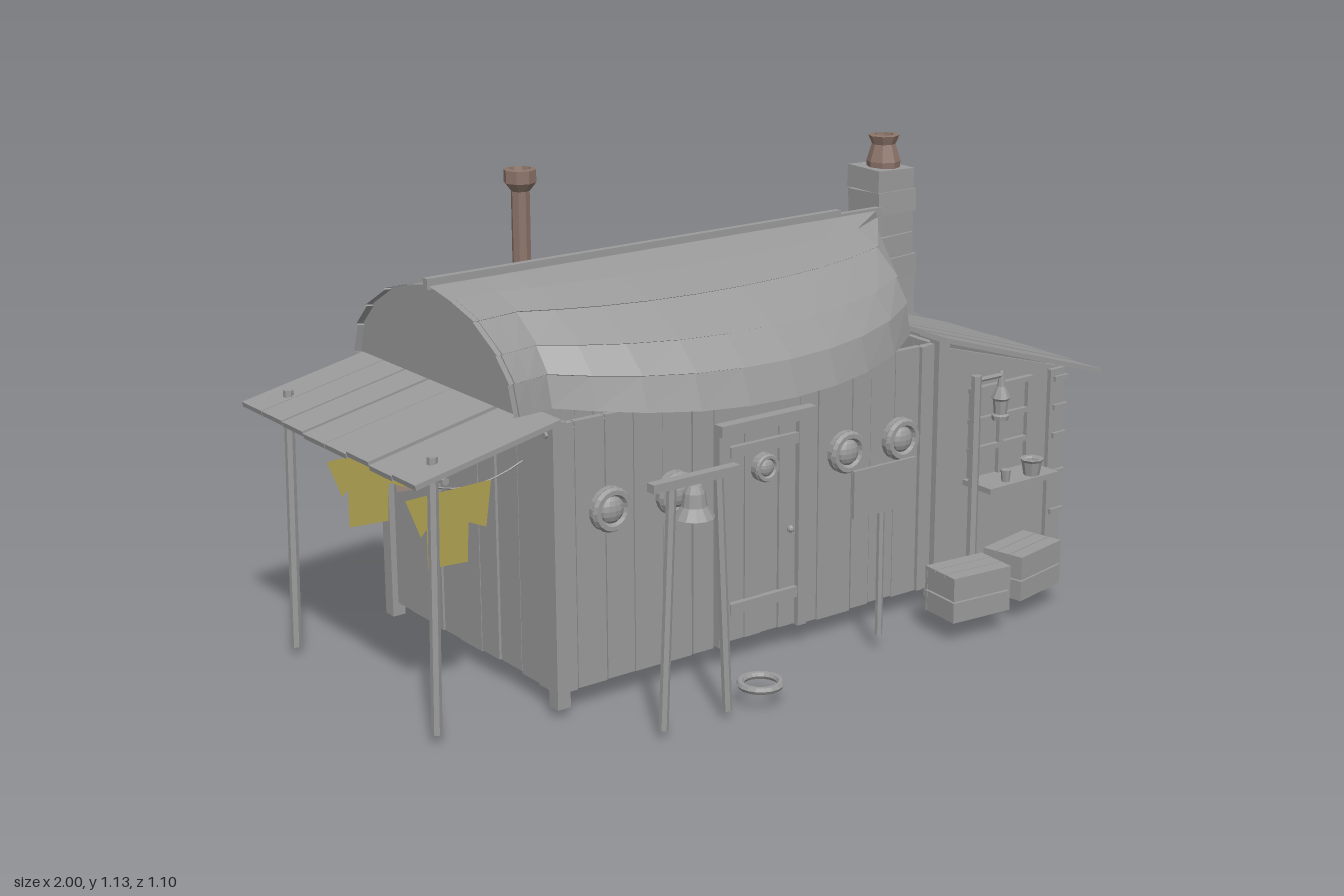
import * as THREE from 'three';

const mat = (name, color, side = THREE.FrontSide) =>
  new THREE.MeshStandardMaterial({ name, color, side, flatShading: true });
const wood = mat('weathered grey', 0x9a9a9a, THREE.DoubleSide);
const clay = mat('clay brown', 0x8c756a);
const yellow = mat('yellow cloth', 0xb0a152, THREE.DoubleSide);
const tan = mat('tan cloth', 0xa08c80, THREE.DoubleSide);
const rust = mat('dark brown', 0x6e5548, THREE.DoubleSide);

// Small seeded random for hand-cut irregularity
let seed = 7;
const jit = (a) => { seed = (seed * 16807) % 2147483647; return (seed / 2147483647 - 0.5) * 2 * a; };

export function createModel() {
  const root = new THREE.Group();
  const add = (name, geo, x = 0, y = 0, z = 0, m = wood, parent = root) => {
    const mesh = new THREE.Mesh(geo, m);
    mesh.name = name;
    mesh.position.set(x, y, z);
    parent.add(mesh);
    return mesh;
  };
  // Box from its min and max corners
  const box = (name, x0, x1, y0, y1, z0, z1, m = wood, parent = root) =>
    add(name, new THREE.BoxGeometry(x1 - x0, y1 - y0, z1 - z0), (x0 + x1) / 2, (y0 + y1) / 2, (z0 + z1) / 2, m, parent);
  // Round or square bar between two points
  const bar = (name, a, b, r, sides = 6, m = wood) => {
    const A = new THREE.Vector3(...a), B = new THREE.Vector3(...b), d = B.clone().sub(A);
    const mesh = add(name, new THREE.CylinderGeometry(r, r, d.length(), sides), 0, 0, 0, m);
    mesh.position.copy(A).add(B).multiplyScalar(0.5);
    mesh.quaternion.setFromUnitVectors(new THREE.Vector3(0, 1, 0), d.normalize());
    return mesh;
  };
  const shape = (pts) => new THREE.Shape(pts.map((p) => new THREE.Vector2(...p)));
  const lathe = (pts, n) => new THREE.LatheGeometry(pts.map((p) => new THREE.Vector2(...p)), n);
  const CZ = -0.09;

  // Overturned hull roof: stations along x [x, half width, bottom y]
  const stations = [[-0.73, 0.34, 0.7], [-0.665, 0.315, 0.692], [-0.6, 0.29, 0.686], [-0.52, 0.345, 0.678],
    [-0.42, 0.395, 0.668], [-0.3, 0.434, 0.659], [-0.18, 0.453, 0.654], [-0.05, 0.457, 0.652], [0.08, 0.443, 0.654],
    [0.2, 0.412, 0.658], [0.33, 0.358, 0.667], [0.45, 0.28, 0.68], [0.585, 0.002, 0.675]];
  // Overlapping strakes: [width factor, height factor]
  const strakes = [[0, 1], [0.28, 0.92], [0.56, 0.8], [0.545, 0.79], [0.82, 0.55], [0.802, 0.54],
    [0.955, 0.31], [0.937, 0.3], [1, 0], [0.965, 0]];
  const at = ([x, w, yb], [a, b], s) => [x, yb + (0.925 - yb) * b, CZ + s * w * a];
  for (const s of [1, -1]) {
    const pos = [], idx = [], n = strakes.length;
    stations.forEach((st) => strakes.forEach((k) => pos.push(...at(st, k, s))));
    for (let i = 0; i < stations.length - 1; i++) for (let j = 0; j < n - 1; j++) {
      const a = i * n + j, b = a + 1, c = a + n, d = c + 1;
      idx.push(...(s > 0 ? [a, b, c, b, d, c] : [a, c, b, b, c, d]));
    }
    const g = new THREE.BufferGeometry();
    g.setAttribute('position', new THREE.Float32BufferAttribute(pos, 3));
    g.setIndex(idx);
    g.computeVertexNormals();
    add('hullSide', g);
  }
  const rim = strakes.map((k) => at(stations[0], k, 1)).map((p) => [p[2], p[1]]);
  const transom = add('transom', new THREE.ShapeGeometry(shape(
    [...rim, ...rim.slice(1).reverse().map(([z, y]) => [2 * CZ - z, y])])), -0.715, 0, 0);
  transom.rotation.y = -Math.PI / 2;
  box('keel', -0.735, 0.455, 0.915, 0.94, CZ - 0.009, CZ + 0.009);
  box('stem', 0.575, 0.592, 0.66, 0.928, CZ - 0.008, CZ + 0.008);
  box('stemCap', 0.45, 0.585, 0.912, 0.93, CZ - 0.008, CZ + 0.008);

  // Plank walls of the main house; along x, or along z when turned
  const plankWall = (name, from, to, face, alongX, top, count) => {
    const w = (to - from) / count;
    let a = from;
    for (let i = 0; i < count; i++) {
      const b = i === count - 1 ? to : from + w * (i + 1) + jit(w * 0.25), f = face + jit(0.003);
      const y0 = 0.05 + jit(0.004);
      if (alongX) box(name, a, b - 0.003, y0, top, f - 0.008, f + 0.008);
      else box(name, f - 0.008, f + 0.008, y0, top, a, b - 0.003);
      a = b;
    }
  };
  plankWall('frontWall', -0.64, -0.205, 0.255, true, 0.67, 6);
  plankWall('frontWall', 0.045, 0.48, 0.255, true, 0.67, 6);
  box('wallAboveDoor', -0.205, 0.045, 0.57, 0.67, 0.247, 0.263);
  plankWall('backWall', -0.64, 0.48, -0.44, true, 0.67, 15);
  plankWall('leftEndWall', -0.43, 0.25, -0.63, false, 0.67, 9);
  plankWall('rightEndWall', -0.43, 0.25, 0.47, false, 0.67, 9);
  for (const z of [0.265, -0.447]) for (const x of [-0.637, 0.478])
    box('cornerPost', x - 0.017, x + 0.017, 0.02, 0.68, z - 0.017, z + 0.017);
  box('frontTrim', 0.415, 0.435, 0.05, 0.67, 0.26, 0.272);

  // Door with battens, header, round window and knob
  for (let i = 0; i < 4; i++) box('doorPlank', -0.165 + i * 0.05, -0.117 + i * 0.05, 0.055, 0.565, 0.247, 0.261 + jit(0.003));
  box('doorJamb', -0.197, -0.167, 0.05, 0.57, 0.25, 0.272);
  box('doorJamb', 0.037, 0.062, 0.05, 0.57, 0.25, 0.272);
  box('doorHeader', -0.205, 0.072, 0.565, 0.592, 0.25, 0.292);
  for (const y of [0.125, 0.505]) box('doorBatten', -0.165, 0.033, y, y + 0.026, 0.26, 0.274);
  add('doorKnob', new THREE.SphereGeometry(0.009, 8, 6), 0.01, 0.3, 0.275);

  // Portholes: ring, glass dome and flange
  const porthole = (x, y, z, r, dir) => {
    const g = new THREE.Group();
    g.name = 'porthole';
    g.position.set(x, y, z);
    g.rotation.y = dir > 0 ? 0 : Math.PI;
    root.add(g);
    add('portholeFlange', new THREE.CylinderGeometry(r, r, 0.02, 18), 0, 0, 0, wood, g).rotation.x = Math.PI / 2;
    add('portholeRing', new THREE.TorusGeometry(r * 0.8, r * 0.2, 6, 18), 0, 0, 0.012, wood, g);
    add('portholeGlass', new THREE.SphereGeometry(r * 0.62, 12, 8), 0, 0, 0.008, wood, g).scale.z = 0.55;
  };
  for (const x of [-0.5, -0.32, 0.18, 0.35]) porthole(x, 0.455, 0.268, 0.052, 1);
  porthole(-0.065, 0.465, 0.268, 0.034, 1);
  for (const x of [0.28, 0.015, -0.24, -0.495]) porthole(x, 0.46, -0.452, 0.052, -1);

  // Lean-to annex: sloped side walls, end wall and sills
  for (const z of [0.205, -0.39]) {
    add('annexSideWall', new THREE.ExtrudeGeometry(shape([[0.48, 0.05], [0.935, 0.05], [0.935, 0.525], [0.48, 0.655]]),
      { depth: 0.02, bevelEnabled: false }), 0, 0, z);
  }
  box('annexEndWall', 0.915, 0.937, 0.045, 0.53, -0.385, 0.22);
  for (const [z, s] of [[0.225, 1], [-0.39, -1]]) {
    box('annexCorner', 0.89, 0.94, 0.05, 0.525, z - 0.012, z + 0.012);
    box('annexFoot', 0.51, 0.535, 0.02, 0.6, z - 0.012, z + 0.012);
    for (const y of [0.145, 0.25, 0.35, 0.425, 0.5]) {
      box('cornerPeg', 0.9, 0.946, y - 0.007, y + 0.007, z + s * 0.004 - 0.016, z + s * 0.004 + 0.016);
    }
  }
  const patch = add('rustPatch', new THREE.ShapeGeometry(shape([[0.485, 0.05], [0.55, 0.05], [0.485, 0.2]])), 0, 0, -0.393, rust);
  patch.name = 'rustPatch';

  // Sloped plank roofs either side; planks run along x
  const plankRoof = (name, x0, y0, x1, y1, z0, z1, count) => {
    const w = (z1 - z0) / count, len = Math.hypot(x1 - x0, y1 - y0);
    for (let i = 0; i < count; i++) {
      const p = add(name, new THREE.BoxGeometry(len, 0.012, w - 0.003),
        (x0 + x1) / 2, (y0 + y1) / 2 + jit(0.004), z0 + w * (i + 0.5));
      p.rotation.z = Math.atan2(y1 - y0, x1 - x0);
    }
  };
  plankRoof('porchRoof', -0.998, 0.607, -0.635, 0.682, -0.48, 0.29, 8);
  plankRoof('annexRoof', 0.46, 0.688, 0.998, 0.52, -0.465, 0.31, 8);
  for (const z of [0.225, -0.405]) {
    bar('porchPost', [-0.93, 0.02, z], [-0.918, 0.645, z], 0.012);
    bar('roofBeam', [-0.66, 0.65, z + 0.03], [-0.5, 0.66, z + 0.03], 0.009);
  }
  bar('porchBeam', [-0.92, 0.605, -0.46], [-0.92, 0.605, 0.28], 0.009);

  // Annex window with bars, shelf and bowl
  box('windowPane', 0.63, 0.81, 0.285, 0.51, 0.222, 0.228);
  for (const x of [0.618, 0.712, 0.808]) box('windowBar', x, x + 0.015, 0.285, 0.52, 0.22, 0.24);
  for (const y of [0.355, 0.43, 0.51]) box('windowRail', 0.615, 0.825, y, y + 0.013, 0.22, 0.24);
  box('windowShelf', 0.605, 0.84, 0.274, 0.288, 0.22, 0.325);
  add('bowl', lathe([[0, 0], [0.02, 0], [0.026, 0.035], [0.031, 0.042], [0.02, 0.042]], 8), 0.77, 0.288, 0.3);
  add('cup', new THREE.CylinderGeometry(0.013, 0.01, 0.03, 8), 0.68, 0.303, 0.3);

  // Stone chimney with clay pot, and stovepipe
  let y = 0.565;
  for (let i = 0; i < 7; i++) {
    const h = 0.0585;
    const b = add('chimneyBlock', new THREE.BoxGeometry(0.127 + jit(0.008), h, 0.122 + jit(0.008)),
      0.8 + jit(0.007), y + h / 2, -0.318 + jit(0.006));
    b.rotation.set(jit(0.04), jit(0.06), jit(0.04));
    y += h;
  }
  add('chimneyPot', lathe([[0, 0], [0.043, 0], [0.045, 0.02], [0.031, 0.065], [0.041, 0.088], [0.027, 0.09], [0.022, 0.04], [0, 0.04]], 8),
    0.8, 0.97, -0.315, clay);
  add('stovepipe', lathe([[0, 0], [0.022, 0], [0.022, 0.345], [0.038, 0.365], [0.038, 0.395], [0.026, 0.397], [0.02, 0.37], [0, 0.37]], 8),
    -0.415, 0.735, -0.192, clay);

  // Washing lines and clothes under the porch
  const shirt = [[-0.94, 0.53], [-0.905, 0.44], [-0.89, 0.455], [-0.89, 0.365], [-0.79, 0.36], [-0.785, 0.45], [-0.74, 0.43], [-0.725, 0.535]];
  for (const z of [0.14, -0.2]) {
    const line = new THREE.QuadraticBezierCurve3(new THREE.Vector3(-0.92, 0.575, z), new THREE.Vector3(-0.8, 0.49, z), new THREE.Vector3(-0.64, 0.56, z));
    add('washingLine', new THREE.TubeGeometry(line, 8, 0.002, 4), 0, 0, 0);
    add('yellowShirt', new THREE.ShapeGeometry(shape(shirt)), 0, 0, z + 0.004, yellow);
  }
  add('tanCloth', new THREE.ShapeGeometry(shape([[-0.77, 0.535], [-0.685, 0.54], [-0.68, 0.45], [-0.7, 0.415], [-0.76, 0.42]])), 0, 0, -0.205, tan);

  // Bell frame and bell
  bar('bellPost', [-0.53, 0.02, 0.505], [-0.505, 0.57, 0.505], 0.011);
  bar('bellPost', [-0.355, 0.02, 0.505], [-0.38, 0.57, 0.505], 0.011);
  box('bellBeam', -0.56, -0.33, 0.566, 0.586, 0.493, 0.517);
  add('bell', lathe([[0, 0.075], [0.016, 0.072], [0.024, 0.055], [0.028, 0.025], [0.045, 0], [0.036, 0]], 12), -0.445, 0.49, 0.505);
  add('bellClapper', new THREE.SphereGeometry(0.01, 8, 6), -0.445, 0.49, 0.505);

  // Rope ring on the ground
  const ring = add('groundRing', new THREE.TorusGeometry(0.046, 0.009, 6, 18), -0.25, 0.052, 0.49);
  ring.rotation.x = Math.PI / 2;

  // Blank sign board
  bar('signPost', [0.17, 0.04, 0.41], [0.17, 0.46, 0.41], 0.009);
  box('signBoard', 0.075, 0.265, 0.35, 0.465, 0.416, 0.424);

  // Lamp post with hanging lantern
  bar('lampPost', [0.52, 0, 0.352], [0.52, 0.6, 0.352], 0.013);
  bar('lampArm', [0.51, 0.588, 0.352], [0.605, 0.588, 0.352], 0.006);
  add('lantern', lathe([[0, 0], [0.02, 0], [0.022, 0.012], [0.016, 0.016], [0.019, 0.05], [0.024, 0.056], [0.01, 0.085], [0.005, 0.12], [0, 0.125]], 8),
    0.603, 0.475, 0.352);

  // Slatted crates, open underneath
  for (const [x, z, r] of [[0.42, 0.447, -0.09], [0.632, 0.415, 0.2]]) {
    const g = new THREE.Group();
    g.name = 'crate';
    g.position.set(x, 0.05, z);
    g.rotation.y = r;
    root.add(g);
    for (const s of [1, -1]) {
      for (let i = 0; i < 2; i++) {
        const y0 = 0.004 + i * 0.054, e = s * 0.08, f = s * 0.052;
        box('crateSlat', -0.085, 0.085, y0, y0 + 0.05, f - 0.004, f + 0.004, wood, g);
        box('crateEnd', e - 0.004, e + 0.004, y0, y0 + 0.05, -0.05, 0.05, wood, g);
      }
      box('crateLining', -0.075, 0.075, 0.002, 0.107, s * 0.046 - 0.001, s * 0.046 + 0.001, rust, g);
    }
    box('crateLidLining', -0.075, 0.075, 0.104, 0.106, -0.046, 0.046, rust, g);
    for (let i = 0; i < 3; i++) box('crateLid', -0.085, 0.085, 0.107, 0.116, -0.056 + i * 0.038, -0.02 + i * 0.038, wood, g);
  }
  return root;
}
